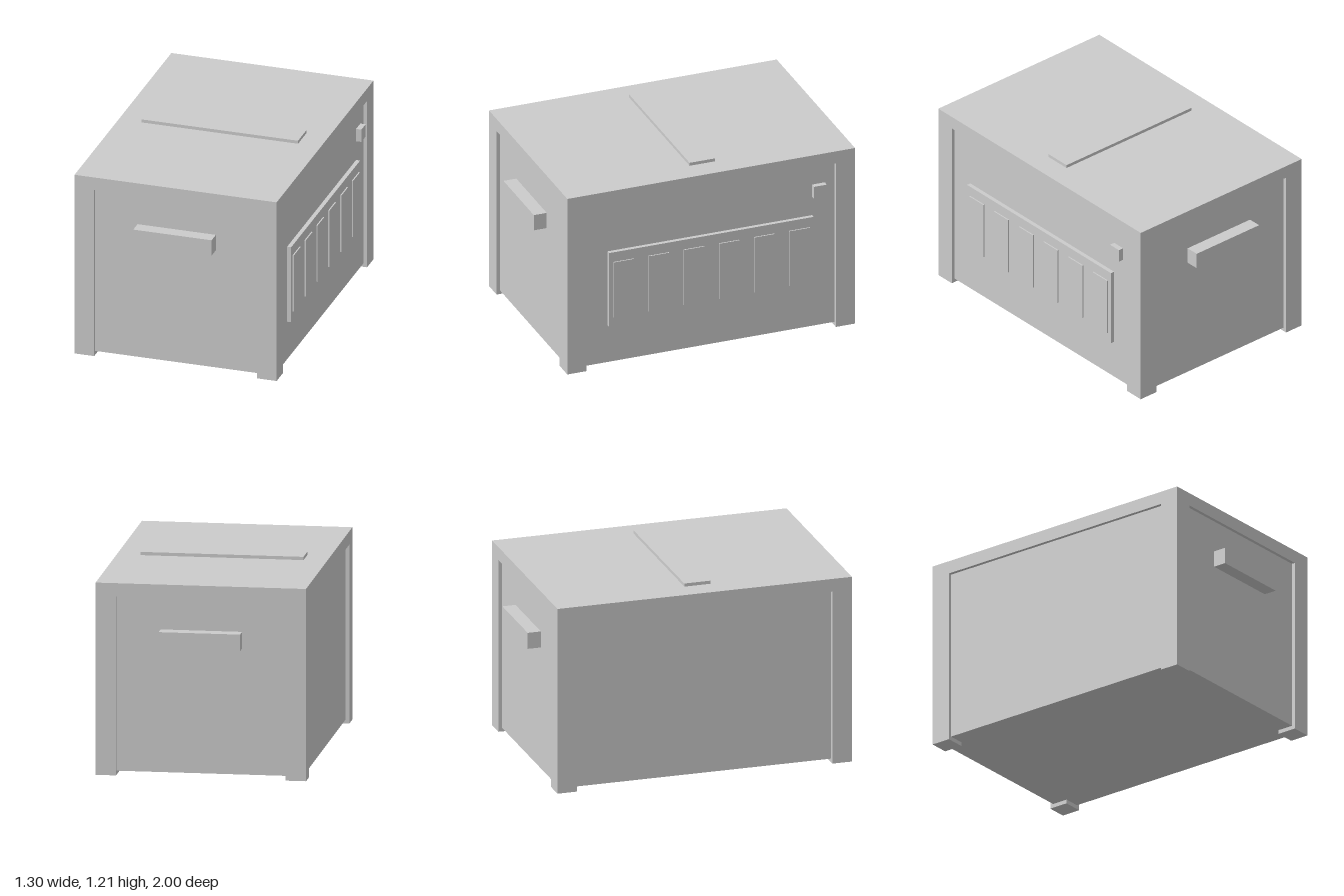
import * as THREE from 'three';

export function createModel() {
  const model = new THREE.Group();
  model.name = 'ventedCabinet';
  const material = new THREE.MeshStandardMaterial({ color: 0xcccccc, flatShading: true });

  // Box given by its lowest and highest corner
  function box(name, [x0, y0, z0], [x1, y1, z1]) {
    const mesh = new THREE.Mesh(new THREE.BoxGeometry(x1 - x0, y1 - y0, z1 - z0), material);
    mesh.position.set((x0 + x1) / 2, (y0 + y1) / 2, (z0 + z1) / 2);
    mesh.name = name;
    model.add(mesh);
  }

  const left = 0.638, right = -0.652, mid = (left + right) / 2;
  const depth = 0.938, post = 0.125, inset = 0.022;
  const rimY = 1.108, topY = 1.19;
  const face = left - inset;

  // Recessed body, with the top slab resting on four corner posts
  box('body', [right + inset, 0.025, -depth + inset], [face, rimY, depth - inset]);
  box('topSlab', [right, rimY, -depth], [left, topY, depth]);
  for (const x of [right, left - post])
    for (const z of [-depth, depth - post])
      box('cornerPost', [x, 0, z], [x + post, rimY, z + post]);

  // Raised strip across the top
  box('topStrip', [mid - 0.5, topY, -0.083], [mid + 0.5, 1.21, 0.083]);

  // Bar handles at the front and back
  box('frontHandle', [mid - 0.25, 0.805, depth - inset], [mid + 0.25, 0.908, 1]);
  box('backHandle', [mid - 0.25, 0.805, -1], [mid + 0.25, 0.908, -depth + inset]);

  // Vent panel with a row of six raised slats
  const ventX = 0.642;
  box('ventPanel', [face, 0.275, -0.667], [ventX, 0.775, 0.667]);
  for (let i = 0; i < 6; i++) {
    const z = (i - 2.5) * 0.2293;
    box('ventSlat', [ventX, 0.335, z - 0.066], [0.65, 0.71, z + 0.066]);
  }

  // Square switch in the upper rear corner
  box('switch', [face, 0.9, -0.75], [0.65, 0.982, -0.667]);

  return model;
}
